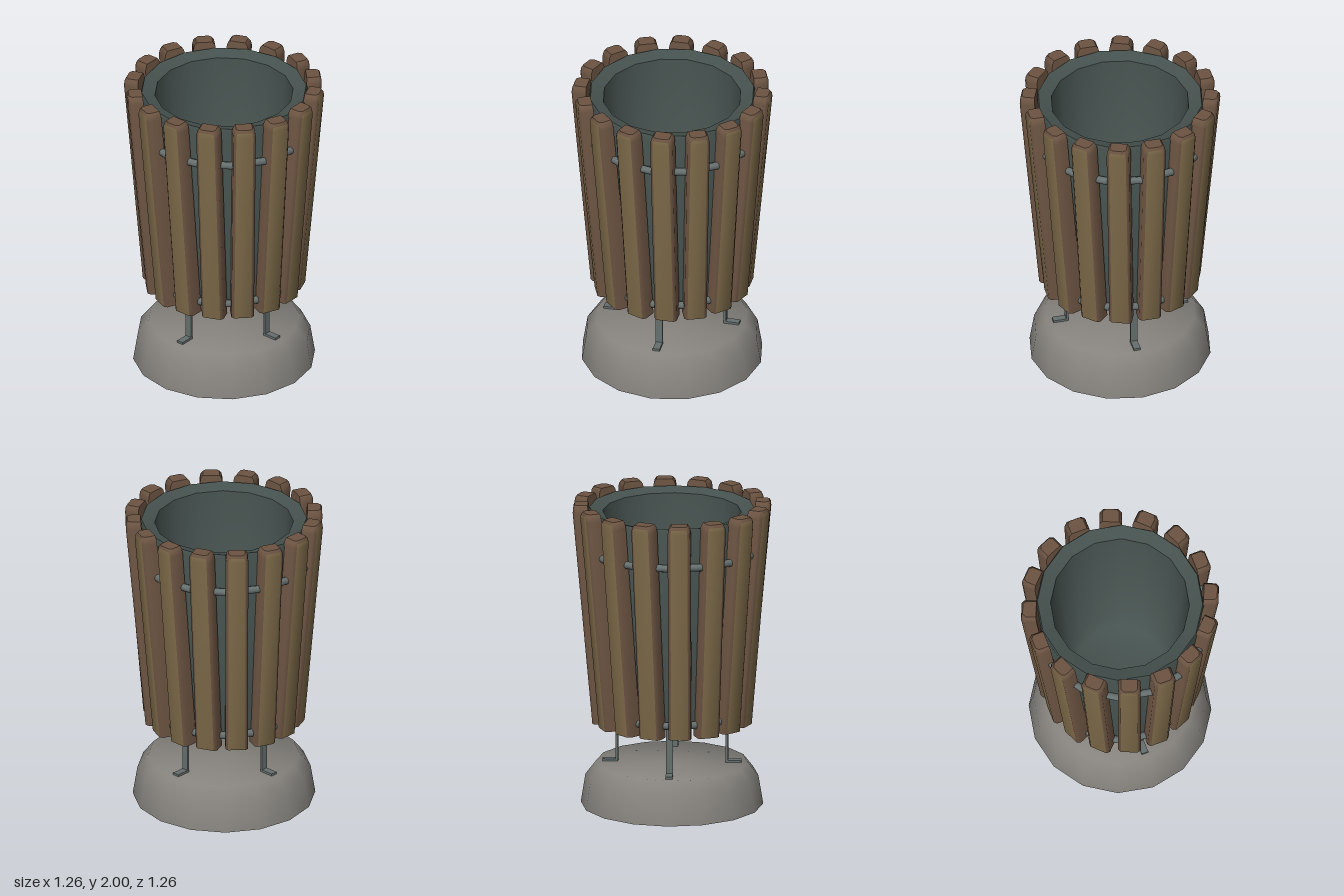
import * as THREE from 'three';
import { toCreasedNormals } from 'three/addons/utils/BufferGeometryUtils.js';

const SIDES = 16;
const paint = (color) => new THREE.MeshStandardMaterial({ color });

function mesh(name, geometry, material) {
  const m = new THREE.Mesh(geometry, material);
  m.name = name;
  return m;
}

// Turned part from [radius, height] points, listed from the underside round the outside
function turned(points, crease) {
  const profile = points.map(([r, y]) => new THREE.Vector2(r, y));
  return toCreasedNormals(new THREE.LatheGeometry(profile, SIDES), crease);
}

// Leaning board with bevelled outer edges and a chamfered top; group 0 = face, group 1 = edges
function slatGeometry() {
  const half = 0.0725, thick = 0.1, bevel = 0.018;
  const outer = (y) => 0.505 + 0.09 * (y - 0.55);
  const ring = (y, inset) => {
    const w = half - inset, z = outer(y) - inset * 0.7, back = outer(y) - thick;
    return [[-w, back], [-w, z - bevel], [-w + bevel, z], [w - bevel, z], [w, z - bevel], [w, back]]
      .map(([x, d]) => [x + half, y, d]);
  };
  const rings = [ring(0.55, 0), ring(1.95, 0), ring(1.98, 0.006), ring(2, 0.02)];
  const face = [], edge = [];
  const n = rings[0].length;
  for (let r = 0; r < rings.length - 1; r++) {
    for (let i = 0; i < n; i++) {
      const j = (i + 1) % n, lo = rings[r], hi = rings[r + 1];
      const target = i === 2 && r < 2 ? face : edge;
      target.push(...lo[i], ...lo[j], ...hi[j], ...lo[i], ...hi[j], ...hi[i]);
    }
  }
  const top = rings[rings.length - 1], bottom = rings[0];
  for (let i = 1; i < n - 1; i++) {
    edge.push(...top[0], ...top[i], ...top[i + 1]);
    edge.push(...bottom[0], ...bottom[i + 1], ...bottom[i]);
  }
  const g = new THREE.BufferGeometry();
  g.setAttribute('position', new THREE.Float32BufferAttribute([...face, ...edge], 3));
  g.addGroup(0, face.length / 3, 0);
  g.addGroup(face.length / 3, edge.length / 3, 1);
  return toCreasedNormals(g, 0.85);
}

export function createModel() {
  const bin = new THREE.Group();
  bin.name = 'slattedBin';
  const stone = paint(0x85827d);
  const metal = paint(0x66706f);
  const lining = paint(0x46524f);
  const wood = [paint(0x7d6a49), paint(0x6c5442)];

  // Heavy round foot
  bin.add(mesh('base', turned(
    [[0, 0], [0.585, 0], [0.555, 0.185], [0.485, 0.275], [0, 0.275]], 0.95), stone));

  // Tapered bucket with a thick rim and a recessed underside
  bin.add(mesh('liner', turned([
    [0, 0.72], [0.31, 0.72], [0.31, 0.62], [0.43, 0.62],
    [0.538, 1.94], [0.53, 1.96], [0.445, 1.935],
    [0.34, 0.82], [0.28, 0.77], [0, 0.76]], 0.9), lining));

  // Hoops that carry the slats
  for (const [name, radius, y] of [['upperHoop', 0.553, 1.705], ['lowerHoop', 0.45, 0.63]]) {
    const hoop = mesh(name, new THREE.TorusGeometry(radius, 0.025, 8, SIDES), metal);
    hoop.rotation.set(Math.PI / 2, 0, Math.PI / 2);
    hoop.position.y = y;
    bin.add(hoop);
  }

  // Four flat brackets bent outward onto the base
  const post = new THREE.BoxGeometry(0.045, 0.4, 0.015).translate(0, 0.475, 0.3525);
  const toe = new THREE.BoxGeometry(0.045, 0.015, 0.1).translate(0, 0.2825, 0.395);
  for (let i = 0; i < 4; i++) {
    const bracket = new THREE.Group();
    bracket.name = 'bracket';
    bracket.add(mesh('bracketPost', post, metal), mesh('bracketToe', toe, metal));
    bracket.rotation.y = (i * Math.PI) / 2;
    bin.add(bracket);
  }

  // Ring of wooden slats
  const slat = slatGeometry();
  for (let i = 0; i < SIDES; i++) {
    const board = mesh('slat', slat, wood);
    board.rotation.y = (i / SIDES) * Math.PI * 2;
    bin.add(board);
  }
  return bin;
}
